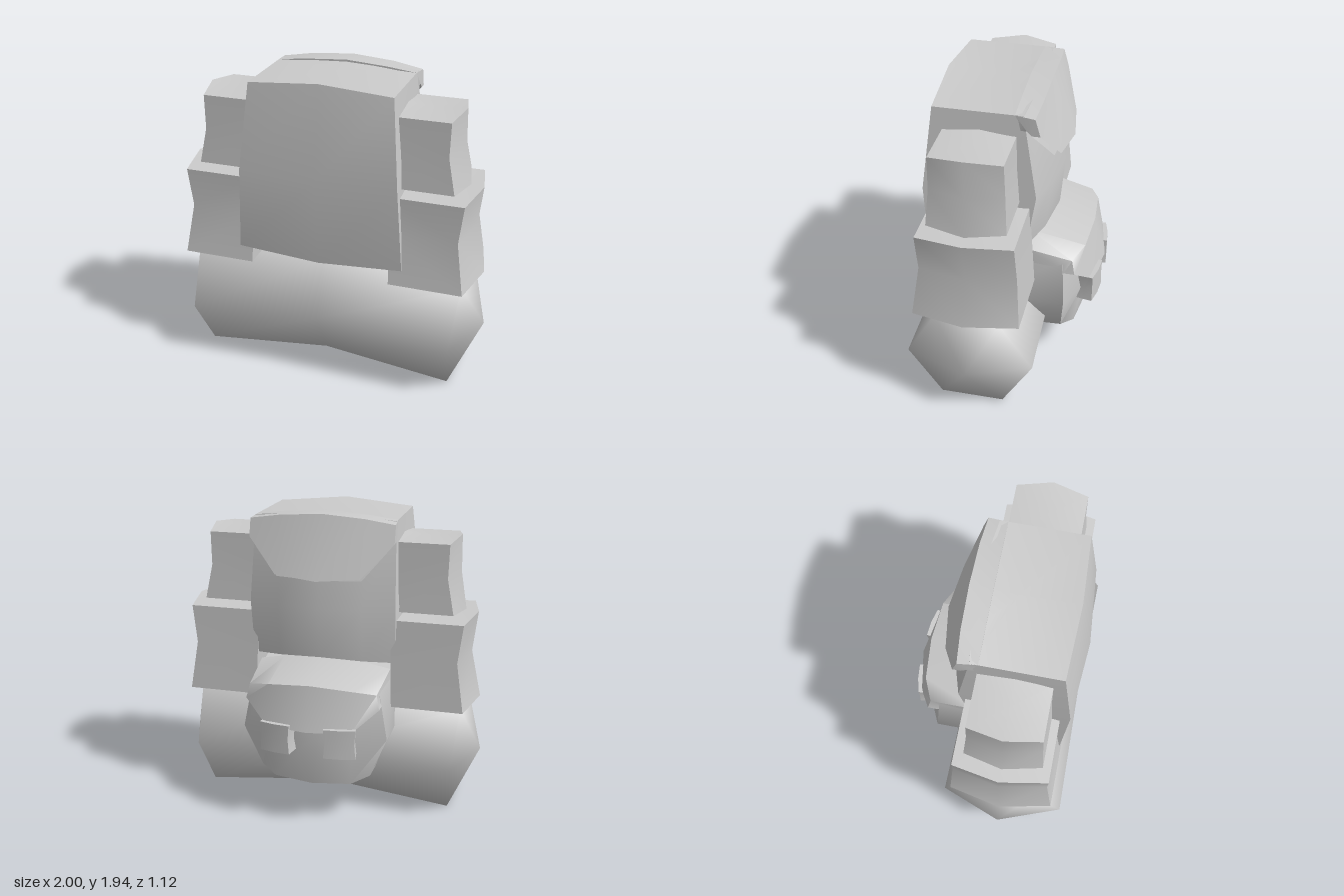
import * as THREE from 'three';
import { toCreasedNormals } from 'three/addons/utils/BufferGeometryUtils.js';

const material = new THREE.MeshStandardMaterial({ color: 0xcccccc, side: THREE.DoubleSide });

// Joins equal-length closed rings of [x, y, z] points and caps both ends.
// endTips optionally gives the centre point of each cap.
function loft(rings, { endTips, crease = 1.05 } = {}) {
  const n = rings[0].length, last = rings.length - 1;
  const middle = ring => [0, 1, 2].map(k => ring.reduce((s, p) => s + p[k], 0) / n);
  const tips = endTips || [middle(rings[0]), middle(rings[last])];
  const points = [...rings.flat(), ...tips];
  const faces = [];
  for (let i = 0; i < n; i++) {
    const j = (i + 1) % n;
    for (let r = 0; r < last; r++) {
      const a = r * n + i, b = r * n + j;
      faces.push([a, b, b + n], [a, b + n, a + n]);
    }
    faces.push([j, i, points.length - 2], [last * n + i, last * n + j, points.length - 1]);
  }
  // Turn every face outward when the rings run the other way round
  const v = points.map(p => new THREE.Vector3(...p));
  const volume = faces.reduce((s, [a, b, c]) => s + v[a].dot(v[b].clone().cross(v[c])), 0);
  if (volume < 0) faces.forEach(f => f.reverse());
  const geometry = new THREE.BufferGeometry().setFromPoints(v);
  geometry.setIndex(faces.flat());
  geometry.computeVertexNormals();
  return crease ? toCreasedNormals(geometry, crease) : geometry;
}

// Completes a half outline, given from centre line to centre line, across x = 0
const mirrorRing = half => [...half, ...half.slice(1, -1).reverse().map(([x, y, z]) => [-x, y, z])];

// Folded lid: a top sheet that bends down the back, with its lower corners cut away
function lid(sections) {
  return loft(sections.map(mirrorRing));
}

// Side pocket, flared at the bottom, with an outward ridge down its middle.
// levels: [y, yRidge, inner x, corner x, ridge x, back z, front z]
function pocket(levels, side) {
  return loft(levels.map(([y, yRidge, inner, corner, ridge, back, front]) => {
    const mid = (back + front) / 2;
    return [
      [inner, y, back], [corner, y, back], [ridge, yRidge, mid],
      [corner, y, front], [inner, y, front], [inner, yRidge, mid],
    ].map(([x, py, z]) => [x * side, py, z]);
  }));
}

// Hexagonal bedroll section
const hexRing = (x, lean, y, ry, rz) => Array.from({ length: 6 }, (_, i) => {
  const a = i * Math.PI / 3, up = Math.sin(a) / Math.sin(Math.PI / 3);
  return [x + Math.sign(x) * lean * up, y + ry * up, 0.16 + rz * Math.cos(a)];
});

export function createModel() {
  const model = new THREE.Group();
  const add = (name, geometry) => {
    const mesh = new THREE.Mesh(geometry, material);
    mesh.name = name;
    model.add(mesh);
    return mesh;
  };

  // Bedroll, pinched in the middle with pointed ends
  add('bedroll', loft([
    hexRing(-0.85, 0.03, 0.35, 0.35, 0.4),
    hexRing(0, 0, 0.42, 0.33, 0.385),
    hexRing(0.85, 0.03, 0.35, 0.35, 0.4),
  ], { endTips: [[-1, 0.355, 0.155], [1, 0.355, 0.155]], crease: 0 }));

  // Main sack
  add('mainBody', loft([
    [[0, 0.79, 0.49], [0.53, 0.82, 0.48], [0.47, 1.0, -0.12], [0.27, 1.02, -0.2], [0, 1.04, -0.245]],
    [[0, 1.36, 0.55], [0.5, 1.36, 0.51], [0.47, 1.36, -0.18], [0.27, 1.36, -0.24], [0, 1.36, -0.275]],
    [[0, 1.94, 0.46], [0.45, 1.9, 0.44], [0.45, 1.9, -0.1], [0.27, 1.92, -0.12], [0, 1.935, -0.14]],
  ].map(mirrorRing)));

  // Lid over the top of the sack
  add('mainLid', lid([
    [[0, 1.94, -0.05], [0.27, 1.921, -0.05], [0.45, 1.9, -0.05],
      [0.45, 1.8, -0.05], [0.27, 1.8, -0.05], [0, 1.8, -0.05]],
    [[0, 1.94, -0.19], [0.27, 1.92, -0.185], [0.46, 1.89, -0.17],
      [0.46, 1.81, -0.12], [0.27, 1.75, -0.15], [0, 1.75, -0.17]],
    [[0, 1.55, -0.33], [0.27, 1.57, -0.29], [0.46, 1.78, -0.2],
      [0.46, 1.78, -0.15], [0.27, 1.55, -0.25], [0, 1.54, -0.265]],
  ]));

  // Rear pouch
  add('rearPouch', loft([
    [[0, 0.25, 0.1], [0.36, 0.28, 0.1], [0.36, 0.3, -0.33], [0.25, 0.26, -0.4], [0, 0.25, -0.43]],
    [[0, 0.57, 0.1], [0.47, 0.57, 0.1], [0.47, 0.57, -0.36], [0.27, 0.57, -0.45], [0, 0.57, -0.48]],
    [[0, 1.0, 0.1], [0.43, 0.96, 0.1], [0.41, 0.89, -0.34], [0.27, 0.9, -0.4], [0, 0.91, -0.43]],
  ].map(mirrorRing)));

  // Lid of the rear pouch
  add('pouchLid', lid([
    [[0, 1.005, -0.1], [0.27, 0.98, -0.1], [0.43, 0.95, -0.1],
      [0.43, 0.85, -0.1], [0.27, 0.85, -0.1], [0, 0.85, -0.1]],
    [[0, 0.93, -0.48], [0.27, 0.91, -0.46], [0.41, 0.88, -0.4],
      [0.42, 0.82, -0.33], [0.27, 0.8, -0.4], [0, 0.8, -0.42]],
    [[0, 0.65, -0.555], [0.27, 0.65, -0.51], [0.43, 0.79, -0.42],
      [0.43, 0.79, -0.35], [0.27, 0.63, -0.42], [0, 0.63, -0.43]],
  ]));

  for (const side of [1, -1]) {
    const label = side > 0 ? 'left' : 'right';

    // Stacked side pockets
    add(label + 'UpperPocket', pocket([
      [1.325, 1.31, 0.44, 0.815, 0.865, -0.08, 0.4],
      [1.55, 1.55, 0.44, 0.77, 0.825, -0.065, 0.385],
      [1.765, 1.79, 0.44, 0.775, 0.82, -0.06, 0.38],
    ], side));
    add(label + 'LowerPocket', pocket([
      [0.72, 0.73, 0.45, 0.91, 0.98, -0.17, 0.49],
      [1.04, 1.04, 0.44, 0.86, 0.915, -0.15, 0.445],
      [1.285, 1.3, 0.44, 0.89, 0.945, -0.14, 0.45],
    ], side));

    // Padded buckle below the pouch lid
    const geometry = new THREE.BoxGeometry(0.2, 0.19, 0.11, 2, 2, 2);
    const p = geometry.attributes.position;
    for (let i = 0; i < p.count; i++) {
      const waist = Math.abs(p.getY(i)) < 0.01 ? 0.92 : 1;
      const bulge = Math.abs(p.getX(i)) < 0.01 ? 1.1 : 0.95;
      p.setXYZ(i, p.getX(i) * waist, p.getY(i), p.getZ(i) * bulge);
    }
    geometry.computeVertexNormals();
    const buckle = add(label + 'Buckle', geometry);
    buckle.position.set(0.2 * side, 0.585, -0.485);
    buckle.rotation.y = -0.17 * side;
  }
  return model;
}
